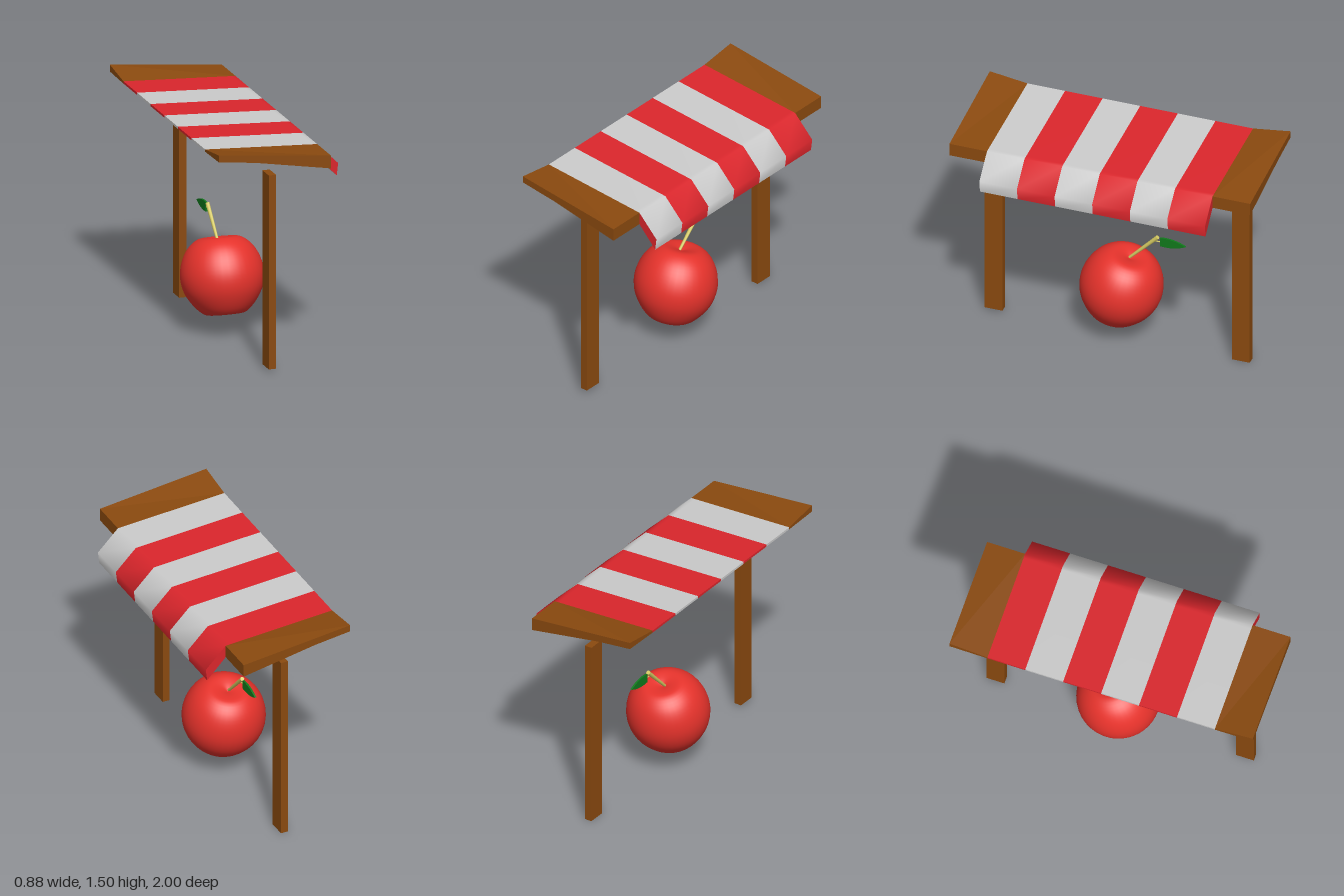
import * as THREE from 'three';
import { toCreasedNormals } from 'three/addons/utils/BufferGeometryUtils.js';

const mat = (color) => new THREE.MeshStandardMaterial({ color });
const wood = mat(0x8b4a0f), grey = mat(0xcccccc), red = mat(0xdb262c);
const appleRed = mat(0xe5322b), stemYellow = mat(0xd6cb62), leafGreen = mat(0x107a1c);

// Extrude an x-y outline along z from z0, over the given depth
function slab(points, z0, depth) {
  const shape = new THREE.Shape(points.map(([x, y]) => new THREE.Vector2(x, y)));
  const geo = new THREE.ExtrudeGeometry(shape, { depth, bevelEnabled: false });
  return geo.translate(0, 0, z0);
}

// Tapered rod between two points
function rod(a, b, r0, r1) {
  const from = new THREE.Vector3(...a), dir = new THREE.Vector3(...b).sub(from);
  const mesh = new THREE.Mesh(new THREE.CylinderGeometry(r1, r0, dir.length(), 8), stemYellow);
  mesh.position.copy(from).addScaledVector(dir, 0.5);
  mesh.quaternion.setFromUnitVectors(new THREE.Vector3(0, 1, 0), dir.normalize());
  return mesh;
}

export function createModel() {
  const model = new THREE.Group();
  const add = (name, mesh, parent = model) => {
    mesh.name = name;
    parent.add(mesh);
    return mesh;
  };

  // Striped cloth with a folded front flap
  const cloth = [[-0.445, 1.45], [-0.2, 1.425], [0.27, 1.341], [0.3, 1.335], [0.43, 1.2],
    [0.44, 1.28], [0.3, 1.42], [0.27, 1.422], [-0.445, 1.465]];
  const awning = add('awning', new THREE.Group());
  for (let i = 0; i < 6; i++) {
    const geo = toCreasedNormals(slab(cloth, -0.75 + i * 0.25, 0.25), 0.95);
    add('stripe', new THREE.Mesh(geo, [red, i % 2 ? grey : red]), awning);
  }

  // Wooden roof ends, with the back corner curling up at the outer edge
  const board = [[-0.445, 1.45], [-0.2, 1.425], [0.3, 1.335], [0.3, 1.42], [-0.445, 1.465]];
  for (const z0 of [-1, 0.75]) {
    const geo = slab(board, z0, 0.25);
    const p = geo.attributes.position;
    for (let i = 0; i < p.count; i++) {
      if (Math.abs(p.getZ(i)) > 0.9 && p.getX(i) < -0.4) {
        p.setY(i, p.getY(i) > 1.46 ? 1.5 : 1.455);
      }
    }
    geo.computeVertexNormals();
    add('roofBoard', new THREE.Mesh(geo, wood));
  }

  // Posts, the rear one set slightly lower with a pale foot
  for (const [z, y, foot] of [[0.822, 0.02, wood], [-0.822, 0, grey]]) {
    const sides = [wood, wood, wood, foot, wood, wood];
    const post = add('post', new THREE.Mesh(new THREE.BoxGeometry(0.048, 1.272, 0.118), sides));
    post.position.set(-0.045, y + 0.636, z);
  }

  // Apple leaning back, dimpled at both ends
  const fruit = add('apple', new THREE.Group());
  const profile = new THREE.SplineCurve([[0, -0.222], [0.05, -0.235], [0.12, -0.242], [0.185, -0.19],
    [0.243, -0.1], [0.264, 0], [0.247, 0.1], [0.2, 0.185], [0.13, 0.237], [0.06, 0.235], [0, 0.215]]
    .map(([x, y]) => new THREE.Vector2(x, y)));
  const points = profile.getPoints(40);
  points[0].x = points[40].x = 0;
  const body = add('appleBody', new THREE.Mesh(new THREE.LatheGeometry(points, 40), appleRed), fruit);
  body.position.set(-0.055, 0.37, -0.015);
  body.rotation.x = -0.27;

  // Stem and leaf stalk
  add('stem', rod([-0.066, 0.575, -0.06], [-0.066, 0.773, -0.253], 0.009, 0.014), fruit);
  add('leafStalk', rod([-0.066, 0.742, -0.22], [-0.066, 0.742, -0.28], 0.004, 0.004), fruit);

  // Leaf, blunt at the stalk and pointed at the tip
  const outline = new THREE.Shape();
  outline.moveTo(0, -0.03);
  outline.quadraticCurveTo(0.09, -0.04, 0.17, 0);
  outline.quadraticCurveTo(0.09, 0.04, 0, 0.03);
  outline.closePath();
  const leafGeo = new THREE.ExtrudeGeometry(outline, { depth: 0.012, bevelEnabled: false });
  const leaf = add('leaf', new THREE.Mesh(leafGeo, leafGreen), fruit);
  leaf.rotation.y = Math.PI / 2;
  leaf.position.set(-0.072, 0.743, -0.27);

  return model;
}
